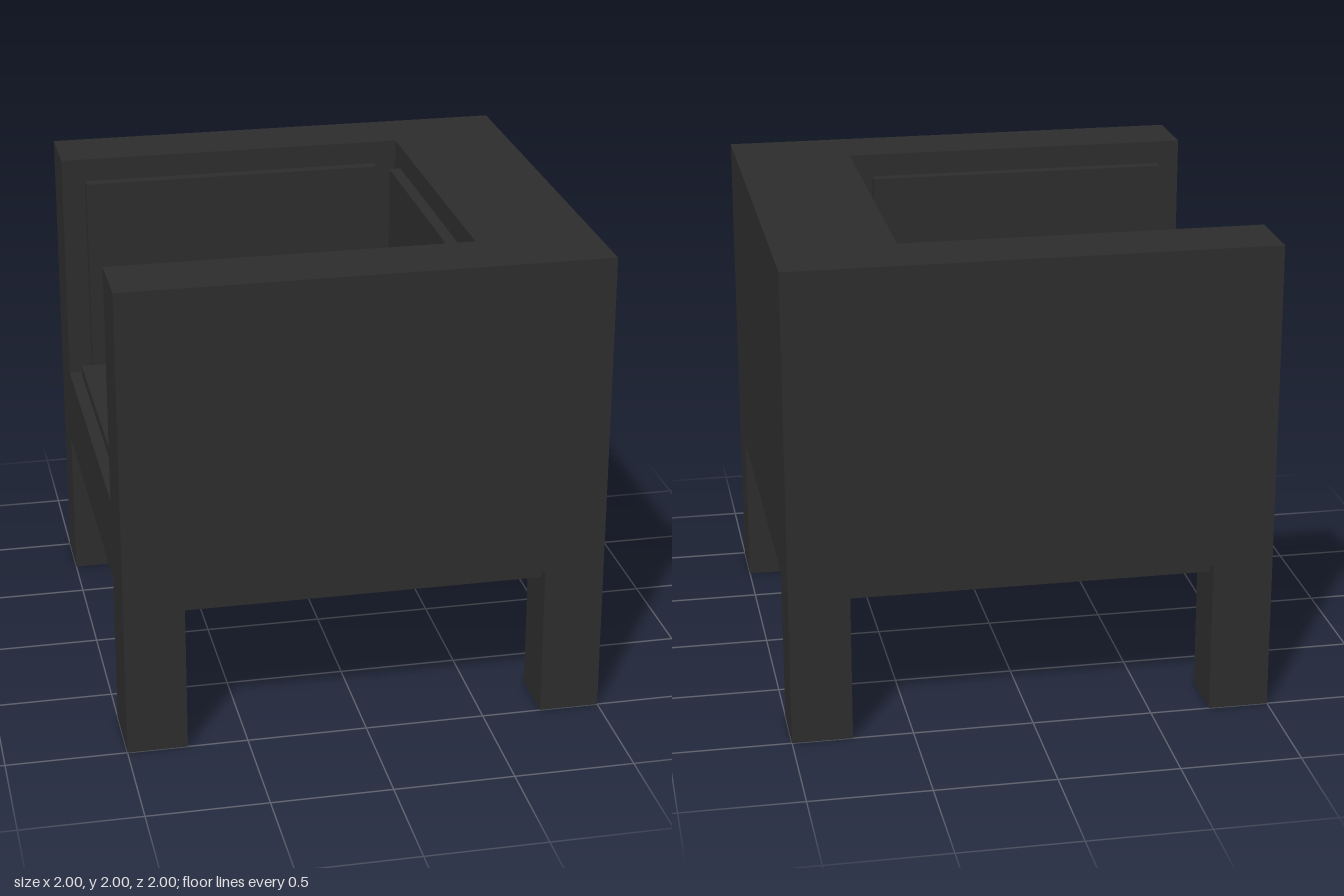
import * as THREE from 'three';

const charcoal = new THREE.MeshStandardMaterial({ color: 0x2d2d2d });
charcoal.name = 'charcoal';

// Box given by its lower and upper corners
function box(name, [x0, y0, z0], [x1, y1, z1]) {
  const mesh = new THREE.Mesh(new THREE.BoxGeometry(x1 - x0, y1 - y0, z1 - z0), charcoal);
  mesh.position.set((x0 + x1) / 2, (y0 + y1) / 2, (z0 + z1) / 2);
  mesh.name = name;
  return mesh;
}

export function createModel() {
  const chair = new THREE.Group();
  chair.name = 'armchair';

  // U-shaped arms and backrest, open towards -x (shape y becomes -z)
  const outline = new THREE.Shape([
    [-1, -1], [1, -1], [1, 1], [-1, 1], [-1, 0.7], [0.5, 0.7], [0.5, -0.7], [-1, -0.7],
  ].map(([x, y]) => new THREE.Vector2(x, y)));
  const geometry = new THREE.ExtrudeGeometry(outline, { depth: 1, bevelEnabled: false });
  geometry.rotateX(-Math.PI / 2).translate(0, 1, 0);
  const shell = new THREE.Mesh(geometry, charcoal);
  shell.name = 'armsAndBackrest';
  chair.add(shell);

  // Seat base, raised seat pad and recessed underside plate
  chair.add(
    box('seatBase', [-1, 0.65, -1], [1, 1, 1]),
    box('seatPad', [-0.95, 1, -0.65], [0.45, 1.05, 0.65]),
    box('undersidePlate', [-0.95, 0.6, -0.95], [0.95, 0.65, 0.95]),
  );

  // Padding panels on the inner faces
  chair.add(
    box('backPanel', [0.45, 1, -0.6], [0.5, 1.9, 0.6]),
    box('leftArmPanel', [-0.9, 1, 0.65], [0.4, 1.9, 0.7]),
    box('rightArmPanel', [-0.9, 1, -0.7], [0.4, 1.9, -0.65]),
  );

  // Legs; one is slightly deeper than the others
  for (const sx of [-1, 1]) {
    for (const sz of [-1, 1]) {
      const inner = sx < 0 && sz > 0 ? 0.7 : 0.75;
      const xs = [sx, sx * 0.75].sort((a, b) => a - b);
      const zs = [sz, sz * inner].sort((a, b) => a - b);
      chair.add(box('leg', [xs[0], 0, zs[0]], [xs[1], 0.65, zs[1]]));
    }
  }
  return chair;
}
